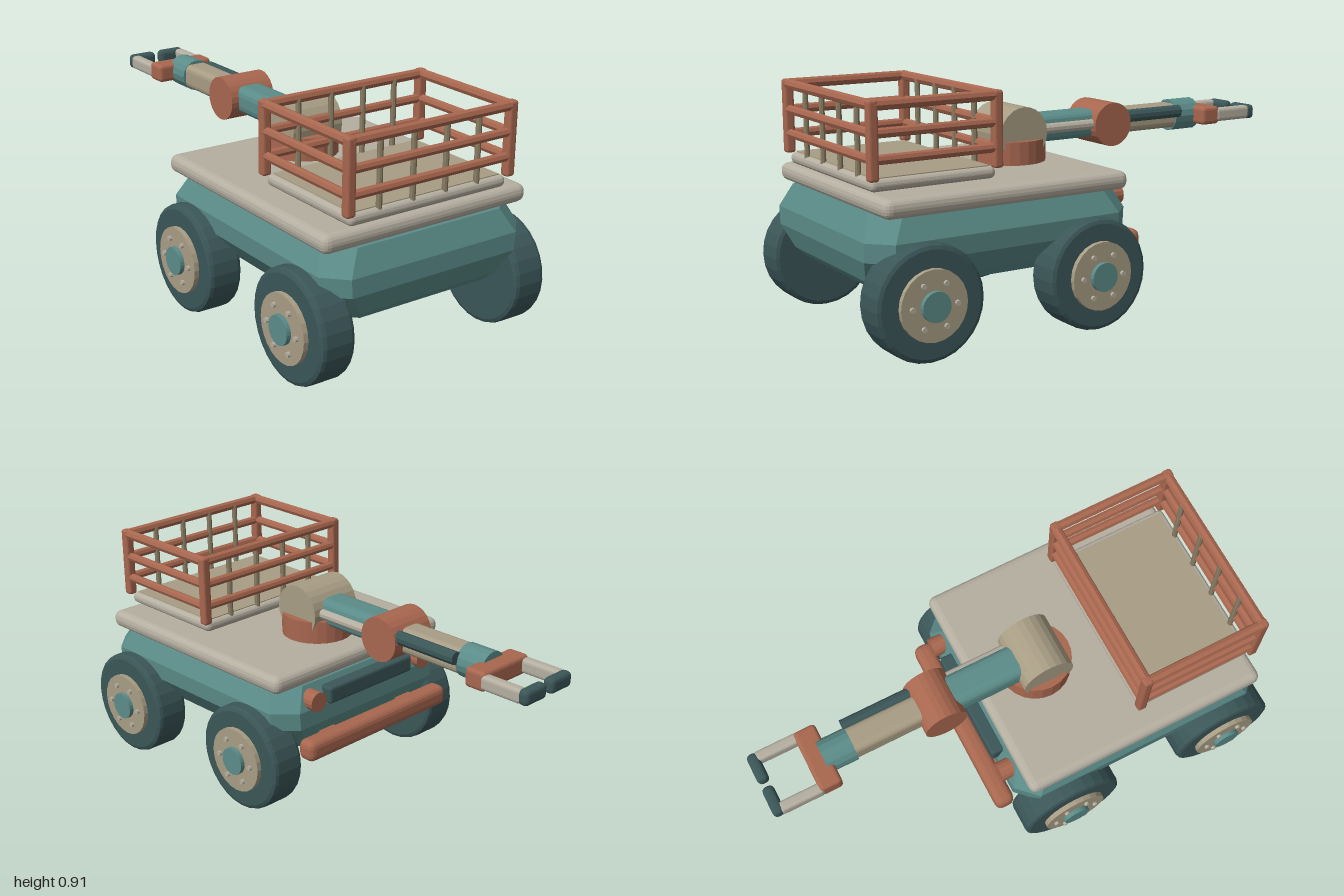
import * as THREE from 'three';
import { RoundedBoxGeometry } from 'three/addons/geometries/RoundedBoxGeometry.js';

const paint = (color) => new THREE.MeshStandardMaterial({ color, flatShading: true });

export function createModel() {
  const root = new THREE.Group();
  root.name = 'armRover';
  const teal = paint(0x5b8c89), dark = paint(0x3b5658), rust = paint(0xa8674f);
  const beige = paint(0xa89d84), pale = paint(0xb5afa1), brown = paint(0x8a7d63);

  const add = (name, geo, mat, x = 0, y = 0, z = 0, parent = root) => {
    const m = new THREE.Mesh(geo, mat);
    m.name = name;
    m.position.set(x, y, z);
    parent.add(m);
    return m;
  };
  const box = (w, h, d, r) => new RoundedBoxGeometry(w, h, d, 2, r);
  // Cylinder along x, y or z
  const cyl = (axis, r, len, sides = 24) => {
    const g = new THREE.CylinderGeometry(r, r, len, sides);
    if (axis === 'x') g.rotateZ(-Math.PI / 2);
    if (axis === 'z') g.rotateX(Math.PI / 2);
    return g;
  };

  // Hull: stacked chamfered rectangles [y, half width, half length, chamfer]
  const rings = [[0.235, 0.34, 0.48, 0.06], [0.27, 0.375, 0.515, 0.07], [0.355, 0.445, 0.548, 0.08],
    [0.425, 0.45, 0.548, 0.08], [0.515, 0.41, 0.51, 0.09]];
  const pos = [], idx = [];
  for (const [y, w, l, c] of rings) {
    for (const [x, z] of [[w, l - c], [w, c - l], [w - c, -l], [c - w, -l], [-w, c - l], [-w, l - c], [c - w, l], [w - c, l]])
      pos.push(x, y, z);
  }
  for (let r = 0; r < rings.length - 1; r++) {
    for (let i = 0; i < 8; i++) {
      const a = r * 8 + i, b = r * 8 + (i + 1) % 8;
      idx.push(a, b, b + 8, a, b + 8, a + 8);
    }
  }
  const top = (rings.length - 1) * 8;
  for (let i = 1; i < 7; i++) idx.push(0, i + 1, i, top, top + i, top + i + 1);
  const hull = new THREE.BufferGeometry();
  hull.setAttribute('position', new THREE.Float32BufferAttribute(pos, 3));
  hull.setIndex(idx);
  hull.computeVertexNormals();
  add('hull', hull, teal, 0, 0, 0.4225);

  // Deck
  add('deck', box(0.91, 0.07, 1.02, 0.03), pale, 0, 0.545, 0.42);

  // Wheels
  const tireProfile = [[0, -0.07], [0.195, -0.07], [0.208, -0.064], [0.2125, -0.052],
    [0.2125, 0.052], [0.208, 0.064], [0.195, 0.07], [0, 0.07]].map(([r, h]) => new THREE.Vector2(r, h));
  const tire = new THREE.LatheGeometry(tireProfile, 28).rotateZ(-Math.PI / 2);
  for (const s of [1, -1]) {
    for (const z of [0.785, 0.08]) {
      const wheel = new THREE.Group();
      wheel.name = 'wheel';
      wheel.position.set(s * 0.435, 0.2125, z);
      if (s < 0) wheel.rotation.y = Math.PI;
      root.add(wheel);
      add('tire', tire, dark, 0, 0, 0, wheel);
      add('rim', cyl('x', 0.13, 0.04), beige, 0.069, 0, 0, wheel);
      add('hub', cyl('x', 0.055, 0.05), teal, 0.082, 0, 0, wheel);
      for (let i = 0; i < 6; i++) {
        const a = i * Math.PI / 3;
        add('bolt', cyl('x', 0.01, 0.02, 8), pale, 0.09, 0.088 * Math.sin(a), 0.088 * Math.cos(a), wheel);
      }
    }
  }

  // Cargo tray and cage
  const cz = 0.678, hx = 0.355, hz = 0.247;
  add('cargoTray', box(0.7, 0.045, 0.5, 0.02), pale, 0, 0.612, cz);
  add('cargoFloor', new THREE.BoxGeometry(0.66, 0.012, 0.46), beige, 0, 0.632, cz);
  for (const s of [1, -1]) {
    for (const t of [1, -1])
      add('cagePost', box(0.038, 0.282, 0.038, 0.01), rust, s * hx, 0.772, cz + t * hz);
    for (const [y, r] of [[0.894, 0.02], [0.797, 0.018], [0.705, 0.018]]) {
      add('cageRail', cyl('x', r, 0.7, 8), rust, 0, y, cz + s * hz);
      add('cageRail', cyl('z', r, 0.49, 8), rust, s * hx, y, cz);
    }
    for (let i = 0; i < 4; i++)
      add('cageBar', cyl('y', 0.011, 0.27, 8), brown, -0.218 + i * 0.145, 0.76, cz + s * (hz - 0.012));
  }

  // Turret and arm
  add('turretBase', cyl('y', 0.143, 0.1), rust, 0, 0.62, 0.16);
  add('shoulder', cyl('x', 0.105, 0.226), beige, 0, 0.695, 0.16);
  add('upperArm', box(0.135, 0.11, 0.44, 0.035), teal, 0, 0.698, -0.03);
  add('upperPiston', cyl('z', 0.02, 0.36, 10), pale, 0.07, 0.7, -0.03);
  add('elbow', cyl('x', 0.088, 0.2), rust, 0, 0.695, -0.272);
  add('forearm', box(0.108, 0.1, 0.36, 0.025), beige, 0, 0.695, -0.48);
  add('forearmPiston', cyl('z', 0.026, 0.3, 10), dark, 0.068, 0.718, -0.48);
  add('wrist', cyl('z', 0.066, 0.12, 16), teal, 0, 0.694, -0.685);

  // Gripper
  add('palm', box(0.255, 0.075, 0.09, 0.015), rust, 0, 0.694, -0.762);
  for (const s of [1, -1]) {
    add('finger', box(0.043, 0.056, 0.18, 0.014), pale, s * 0.109, 0.694, -0.88);
    add('fingertip', box(0.118, 0.06, 0.046, 0.018), dark, s * 0.071, 0.694, -0.977);
  }

  // Rear bumper, lamps and grille
  add('bumper', box(0.77, 0.085, 0.08, 0.028), rust, 0, 0.286, -0.163);
  add('rearGrille', box(0.46, 0.07, 0.06, 0.012), dark, 0, 0.46, -0.118);
  for (const s of [1, -1]) {
    add('bumperBracket', new THREE.BoxGeometry(0.08, 0.05, 0.12), rust, s * 0.215, 0.286, -0.09);
    add('rearLamp', cyl('z', 0.04, 0.07, 16), rust, s * 0.295, 0.46, -0.118);
  }
  return root;
}
